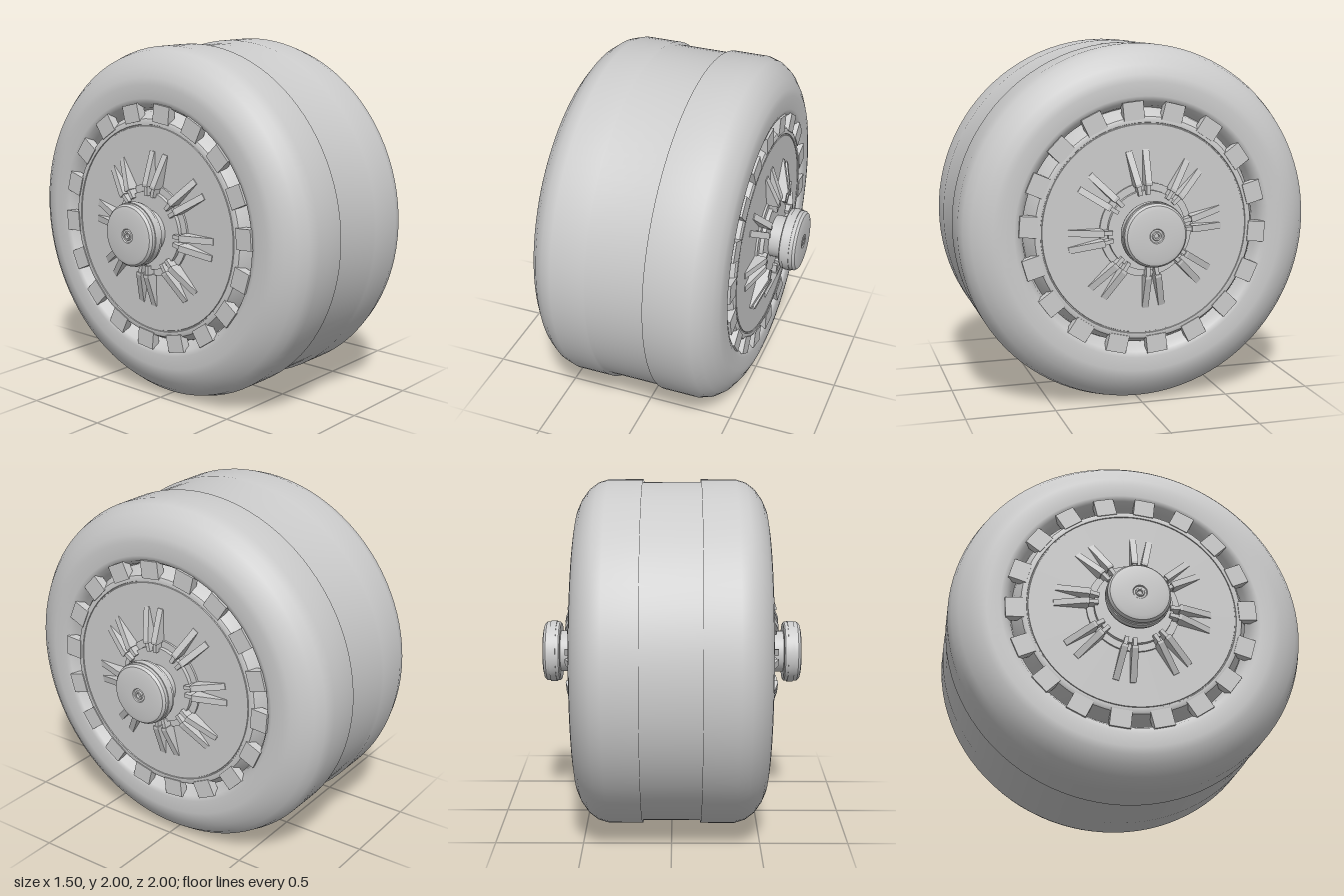
import * as THREE from 'three';
import { toCreasedNormals } from 'three/addons/utils/BufferGeometryUtils.js';

const material = new THREE.MeshStandardMaterial({ color: 0xcccccc, side: THREE.DoubleSide });

function add(parent, name, geometry) {
  const mesh = new THREE.Mesh(geometry, material);
  mesh.name = name;
  parent.add(mesh);
  return mesh;
}

// Revolve [x, radius] pairs, listed from low x to high x, about the x axis
function turned(profile, segments, crease) {
  const points = profile.map(([x, r]) => new THREE.Vector2(r, x));
  const geometry = new THREE.LatheGeometry(points, segments).rotateZ(-Math.PI / 2);
  return crease ? toCreasedNormals(geometry, crease) : geometry;
}

// Hub and trim of one side, built towards +x; s = -1 gives the mirrored side
function createSide(s) {
  const side = new THREE.Group();
  side.name = s > 0 ? 'leftHub' : 'rightHub';
  if (s < 0) side.rotation.y = Math.PI;

  // Wheel disc with a fine groove near its rim
  add(side, 'hubDisc', turned([
    [0.42, 0.66], [0.47, 0.65], [0.535, 0.615], [0.54, 0.605], [0.54, 0.585],
    [0.535, 0.583], [0.535, 0.578], [0.54, 0.576], [0.54, 0],
  ], 72, 0.5));

  // Teeth that bridge disc and tyre
  for (let i = 0; i < 18; i++) {
    const tooth = new THREE.BoxGeometry(0.05, 0.1, 0.115).translate(0.521, 0.65, 0);
    add(side, 'rimTooth', tooth).rotation.x = -s * THREE.MathUtils.degToRad(20 * i - 6);
  }

  // Spokes: sloping fins in eight pairs, each with a small inner lug
  const fin = new THREE.Shape([
    [0.53, 0.25], [0.607, 0.25], [0.607, 0.265], [0.545, 0.44], [0.53, 0.44],
  ].map(([x, y]) => new THREE.Vector2(x, y)));
  const finGeometry = new THREE.ExtrudeGeometry(fin, { depth: 0.036, bevelEnabled: false })
    .translate(0, 0, -0.018);
  const lugGeometry = new THREE.BoxGeometry(0.07, 0.06, 0.022).translate(0.565, 0.23, 0);
  for (let i = 0; i < 8; i++) {
    for (const offset of [0, -12.5]) {
      const angle = -s * THREE.MathUtils.degToRad(45 * i + offset);
      add(side, 'spoke', finGeometry).rotation.x = angle;
      add(side, 'spokeLug', lugGeometry).rotation.x = angle;
    }
  }

  // Raised collar, axle and end cap
  add(side, 'hubCollar', turned([
    [0.53, 0.26], [0.552, 0.26], [0.552, 0.22], [0.575, 0.22], [0.575, 0.1],
  ], 48, 0.5));
  add(side, 'axle', turned([[0.53, 0.12], [0.66, 0.12]], 40));
  add(side, 'axleCap', turned([
    [0.648, 0.1], [0.648, 0.165], [0.655, 0.173], [0.672, 0.173], [0.672, 0.178],
    [0.708, 0.178], [0.708, 0.173], [0.728, 0.173], [0.742, 0.162], [0.748, 0.14],
    [0.748, 0.04], [0.742, 0.036], [0.742, 0.026], [0.748, 0.022], [0.748, 0.014],
    [0.735, 0.012], [0.735, 0],
  ], 48, 0.6));
  return side;
}

export function createModel() {
  const model = new THREE.Group();
  const wheel = new THREE.Group();
  wheel.name = 'wheel';
  wheel.position.y = 1;
  model.add(wheel);

  // Twin tyre with a shallow centre channel
  const half = [
    [0.165, 0.985], [0.165, 1], [0.36, 1], [0.42, 0.982], [0.47, 0.945], [0.51, 0.89],
    [0.533, 0.84], [0.54, 0.8], [0.54, 0.725], [0.53, 0.695], [0.49, 0.672], [0.42, 0.655],
  ];
  const mirrored = half.map(([x, r]) => [-x, r]).reverse();
  add(wheel, 'tyre', turned([...mirrored, ...half], 96));

  wheel.add(createSide(1), createSide(-1));
  return model;
}
